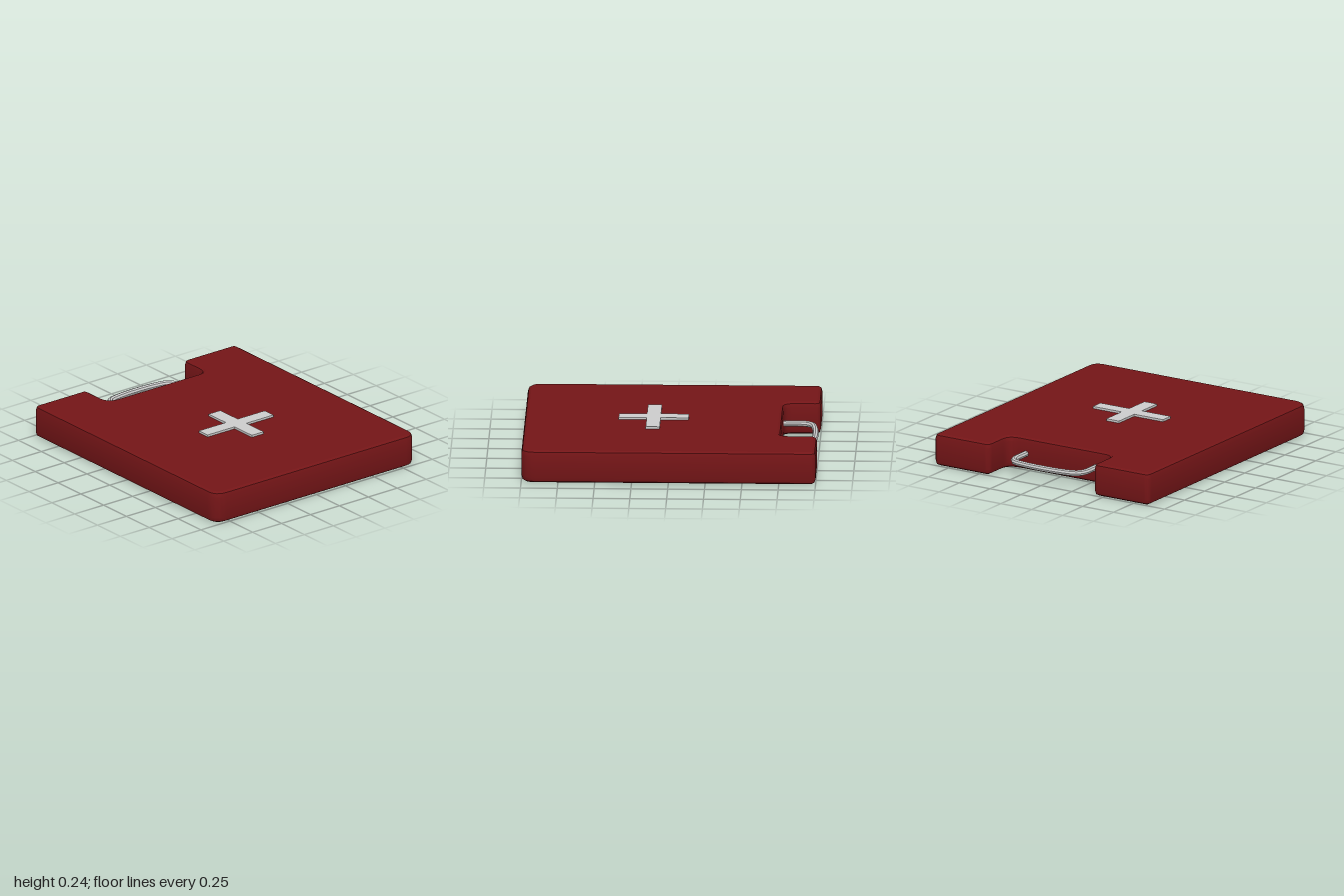
import * as THREE from 'three';
import { toCreasedNormals } from 'three/addons/utils/BufferGeometryUtils.js';

// Closed outline through [x, y, radius] corners, each corner rounded off
function roundedOutline(corners) {
  const shape = new THREE.Shape();
  const n = corners.length;
  corners.forEach(([x, y, r], i) => {
    const p = new THREE.Vector2(x, y);
    const toward = ([qx, qy]) => new THREE.Vector2(qx, qy).sub(p).setLength(r).add(p);
    const a = toward(corners[(i + n - 1) % n]);
    const b = toward(corners[(i + 1) % n]);
    if (i === 0) shape.moveTo(a.x, a.y);
    else shape.lineTo(a.x, a.y);
    if (r > 0) shape.quadraticCurveTo(x, y, b.x, b.y);
  });
  shape.closePath();
  return shape;
}

// Extrudes an outline upwards; outline y points to the back (-z)
function slab(shape, options, y) {
  return new THREE.ExtrudeGeometry(shape, options).rotateX(-Math.PI / 2).translate(0, y, 0);
}

function addMesh(group, name, geometry, material) {
  const mesh = new THREE.Mesh(geometry, material);
  mesh.name = name;
  group.add(mesh);
}

export function createModel() {
  const group = new THREE.Group();
  group.name = 'firstAidCase';
  const red = new THREE.MeshStandardMaterial({ color: 0x741517 });
  const grey = new THREE.MeshStandardMaterial({ color: 0xcccccc });
  const greyFlat = new THREE.MeshStandardMaterial({ color: 0xcccccc, flatShading: true });

  // Case body: flat slab with a handle notch at the back and a soft bevel all round
  const bevel = 0.025, rim = 0.035, height = 0.225;
  const w = 0.87 - bevel, d = 1 - bevel, notchX = 0.42 + bevel, notchY = 0.75 - bevel;
  const body = roundedOutline([
    [-w, -d, 0.07], [w, -d, 0.07], [w, d, 0.015], [notchX, d, 0.015],
    [notchX, notchY, 0.1], [-notchX, notchY, 0.1], [-notchX, d, 0.015], [-w, d, 0.015],
  ]);
  const bodyGeometry = slab(body, {
    depth: height - 2 * rim, bevelEnabled: true, bevelThickness: rim,
    bevelSize: bevel, bevelSegments: 2, curveSegments: 6,
  }, rim);
  addMesh(group, 'caseBody', toCreasedNormals(bodyGeometry, 0.38), red);

  // Raised cross on the lid
  const cross = roundedOutline([
    [-0.055, -0.36], [0.047, -0.36], [0.047, -0.17], [0.28, -0.17],
    [0.28, -0.075], [0.047, -0.075], [0.047, 0.115], [-0.055, 0.115],
    [-0.055, -0.075], [-0.288, -0.075], [-0.288, -0.17], [-0.055, -0.17],
  ].map(([x, y]) => [x, y, 0]));
  addMesh(group, 'cross', slab(cross, { depth: 0.03, bevelEnabled: false }, 0.21), grey);

  // Carry handle: faceted bar bent across the notch
  const half = [[0.285, -0.7], [0.285, -0.8], [0.281, -0.895], [0.25, -0.945], [0.17, -0.966]];
  const points = [
    ...half, [0, -0.976], ...half.map(([x, z]) => [-x, z]).reverse(),
  ].map(([x, z]) => new THREE.Vector3(x, 0.115, z));
  const path = new THREE.CatmullRomCurve3(points, false, 'centripetal');
  addMesh(group, 'handle', new THREE.TubeGeometry(path, 28, 0.021, 8), greyFlat);

  return group;
}
